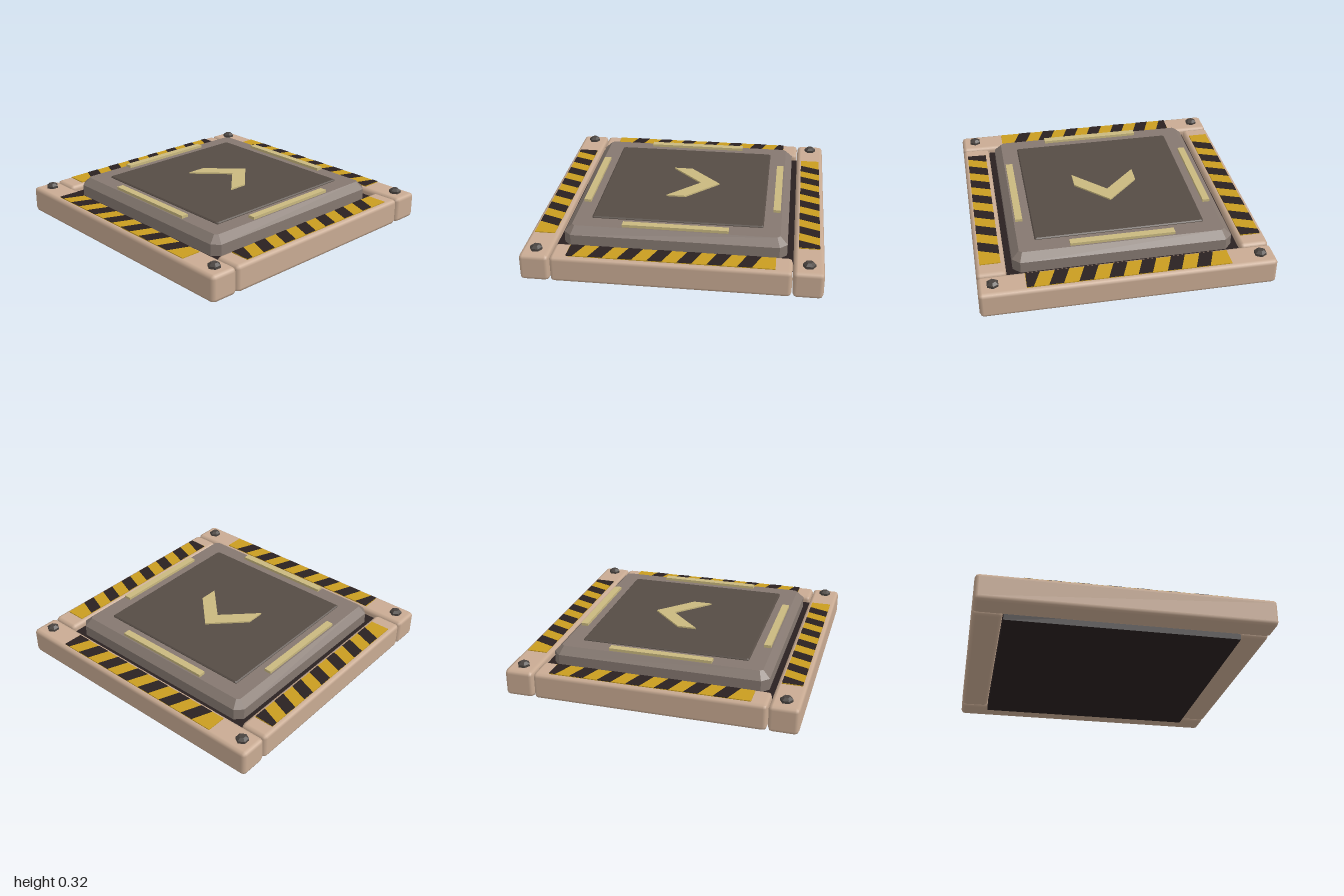
import * as THREE from 'three';
import { RoundedBoxGeometry } from 'three/addons/geometries/RoundedBoxGeometry.js';

const mat = (name, color) => Object.assign(new THREE.MeshStandardMaterial({ color }), { name });

// Square with chamfered corners, as eight points
function octagon(h, c) {
  const a = h - c;
  return [[h, -a], [h, a], [a, h], [-a, h], [-h, a], [-h, -a], [-a, -h], [a, -h]];
}

// Flat-faced solid through stacked octagons: [half width, corner chamfer, y]
function loft(sections) {
  const pos = [], index = [];
  for (const [h, c, y] of sections) for (const [x, z] of octagon(h, c)) pos.push(x, y, z);
  for (let s = 0; s < sections.length - 1; s++) {
    for (let i = 0; i < 8; i++) {
      const a = s * 8 + i, b = s * 8 + (i + 1) % 8;
      index.push(a, a + 8, b, b, a + 8, b + 8);
    }
  }
  const top = (sections.length - 1) * 8;
  for (let i = 1; i < 7; i++) {
    index.push(top, top + i + 1, top + i);
    index.push(0, i, i + 1);
  }
  const indexed = new THREE.BufferGeometry();
  indexed.setAttribute('position', new THREE.Float32BufferAttribute(pos, 3));
  indexed.setIndex(index);
  const geo = indexed.toNonIndexed();
  geo.computeVertexNormals();
  return geo;
}

// Flat plate from [x, -z] outlines, lying on height y
function plate(outlines, y, depth) {
  const shapes = outlines.map(o => new THREE.Shape(o.map(p => new THREE.Vector2(p[0], p[1]))));
  const geo = new THREE.ExtrudeGeometry(shapes, { depth, bevelEnabled: false });
  return geo.rotateX(-Math.PI / 2).translate(0, y, 0);
}

export function createModel() {
  const model = new THREE.Group();
  model.name = 'launchPad';
  const tan = mat('tanFrame', 0xc9ab93);
  const black = mat('blackPaint', 0x2a2121);
  const yellow = mat('yellowPaint', 0xc99d20);
  const grey = mat('greyPlate', 0x857870);
  const brown = mat('brownPad', 0x564c45);
  const pale = mat('paleMarking', 0xc9b87f);
  const steel = mat('darkBolt', 0x4a4440);

  const add = (parent, name, geo, material) => {
    const mesh = new THREE.Mesh(geo, material);
    mesh.name = name;
    parent.add(mesh);
    return mesh;
  };

  // Dark base tray
  add(model, 'base', new THREE.BoxGeometry(1.595, 0.17, 1.595).translate(0, 0.085, 0), black);

  // Slanted black bands, the last one cut off at the end of the paint
  const end = 0.685, inner = 0.83, outer = 0.97;
  const bands = [];
  for (let k = 0; k < 7; k++) {
    const u = -0.59 + k * 0.196;
    bands.push([
      [u, inner], [Math.min(u + 0.095, end), inner],
      [Math.min(u + 0.15, end), outer], [u + 0.055, outer],
    ]);
  }

  // Four sides of the frame, with hazard paint and a light strip on the plate
  ['back', 'right', 'front', 'left'].forEach((side, i) => {
    const group = new THREE.Group();
    group.name = side + 'Side';
    group.rotation.y = -i * Math.PI / 2;
    model.add(group);
    const length = i % 2 ? 1.59 : 2;
    add(group, 'rail', new RoundedBoxGeometry(length, 0.187, 0.2, 1, 0.028).translate(0, 0.1215, -0.9), tan);
    add(group, 'yellowStripe', new THREE.BoxGeometry(2 * end, 0.008, outer - inner).translate(0, 0.217, -0.9), yellow);
    add(group, 'blackBands', plate(bands, 0.218, 0.005), black);
    add(group, 'lightStrip', new THREE.BoxGeometry(0.72, 0.025, 0.05).translate(0, 0.307, -0.67), pale);
  });

  // Hexagonal bolts at the corners
  for (const x of [-0.9, 0.9]) {
    for (const z of [-0.9, 0.9]) {
      const bolt = new THREE.Group();
      bolt.name = 'bolt';
      bolt.position.set(x, 0.214, z);
      model.add(bolt);
      const head = new THREE.CylinderGeometry(0.043, 0.043, 0.018, 6).toNonIndexed();
      const cap = new THREE.CylinderGeometry(0.022, 0.043, 0.016, 6).toNonIndexed();
      head.computeVertexNormals();
      cap.computeVertexNormals();
      add(bolt, 'boltHead', head.translate(0, 0.009, 0), steel);
      add(bolt, 'boltCap', cap.translate(0, 0.026, 0), steel);
    }
  }

  // Raised plate with a sloped edge, and the pad set on it
  add(model, 'plate', loft([[0.755, 0.05, 0.15], [0.755, 0.05, 0.25], [0.705, 0.02, 0.3]]), grey);
  add(model, 'pad', loft([[0.588, 0.008, 0.29], [0.588, 0.008, 0.304], [0.58, 0.008, 0.311]]), brown);

  // Arrow pointing to the back
  const arrow = [[0, 0.1], [0.227, -0.125], [0.227, 0.01], [0, 0.235], [-0.227, 0.01], [-0.227, -0.125]];
  add(model, 'arrow', plate([arrow], 0.31, 0.012), pale);

  return model;
}
